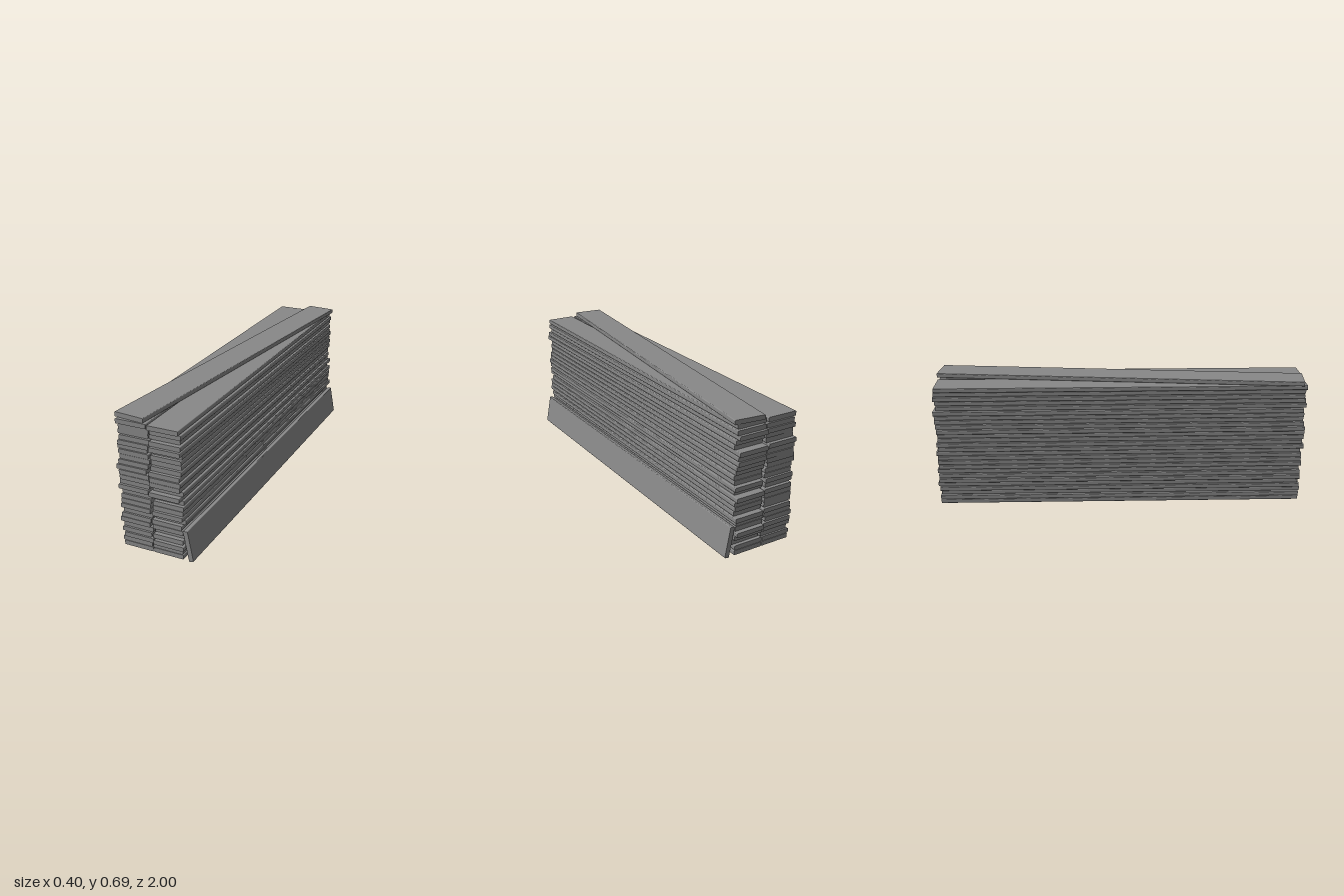
import * as THREE from 'three';

const W = 0.159, H = 0.0235, L = 1.955, R = 0.004; // plank width, thickness, length, corner radius
const PITCH = 0.02556, BASE = 0.0155;              // layer spacing and height of the first layer

// Sideways centre of every layer, bottom to top, in thousandths
const RIGHT_X = [-95, -100, -90, -102, -97, -110, -102, -95, -102, -100, -98, -95, -106,
  -103, -97, -100, -112, -104, -97, -102, -108, -97, -91, -99, -94, -105];
const LEFT_X = [66, 63, 75, 65, 67, 66, 61, 75, 71, 71, 73, 70, 63,
  74, 66, 70, 64, 68, 66, 65, 66, 73, 71, 63, 71, 63];
// Lengthwise slip of the left stack, in thousandths
const LEFT_Z = [0, 0, 15, 0, -20, 0, 0, -17, 10, 0, 0, -15, 20,
  -3, 17, 18, 13, 0, -10, -5, -17, 20, 10, -10, 0, 12];

// Rounded rectangle extruded along z and centred on the origin
function plankGeometry() {
  const x = W / 2 - R, y = H / 2 - R;
  const s = new THREE.Shape();
  [[x, y], [-x, y], [-x, -y], [x, -y]].forEach(([cx, cy], i) =>
    s.absarc(cx, cy, R, i * Math.PI / 2, (i + 1) * Math.PI / 2, false));
  const g = new THREE.ExtrudeGeometry(s, { depth: L, bevelEnabled: false, curveSegments: 3 });
  return g.translate(0, 0, -L / 2);
}

export function createModel() {
  const model = new THREE.Group();
  model.name = 'plankPile';
  const geometry = plankGeometry();
  const material = new THREE.MeshStandardMaterial({ color: 0x888888 });

  const addPlank = (parent, name, x, y, z) => {
    const plank = new THREE.Mesh(geometry, material);
    plank.name = name;
    plank.position.set(x, y, z);
    parent.add(plank);
    return plank;
  };

  // Two side-by-side stacks of loosely aligned planks
  const leftStack = new THREE.Group();
  leftStack.name = 'leftStack';
  const rightStack = new THREE.Group();
  rightStack.name = 'rightStack';
  model.add(leftStack, rightStack);
  for (let i = 0; i < LEFT_X.length; i++) {
    const y = BASE + i * PITCH, z = LEFT_Z[i] / 1000;
    addPlank(leftStack, 'leftPlank' + (i + 1), LEFT_X[i] / 1000, y, z);
    addPlank(rightStack, 'rightPlank' + (i + 1), RIGHT_X[i] / 1000, y, z * 0.4);
  }

  // Plank lying askew across the top
  addPlank(model, 'topPlank', -0.0185, 0.6785, -0.002).rotation.y = -0.103;

  // Plank on edge, leaning against the left side
  addPlank(model, 'leaningPlank', 0.172, 0.0803, 0).rotation.z = Math.PI / 2 + 0.18;

  return model;
}
